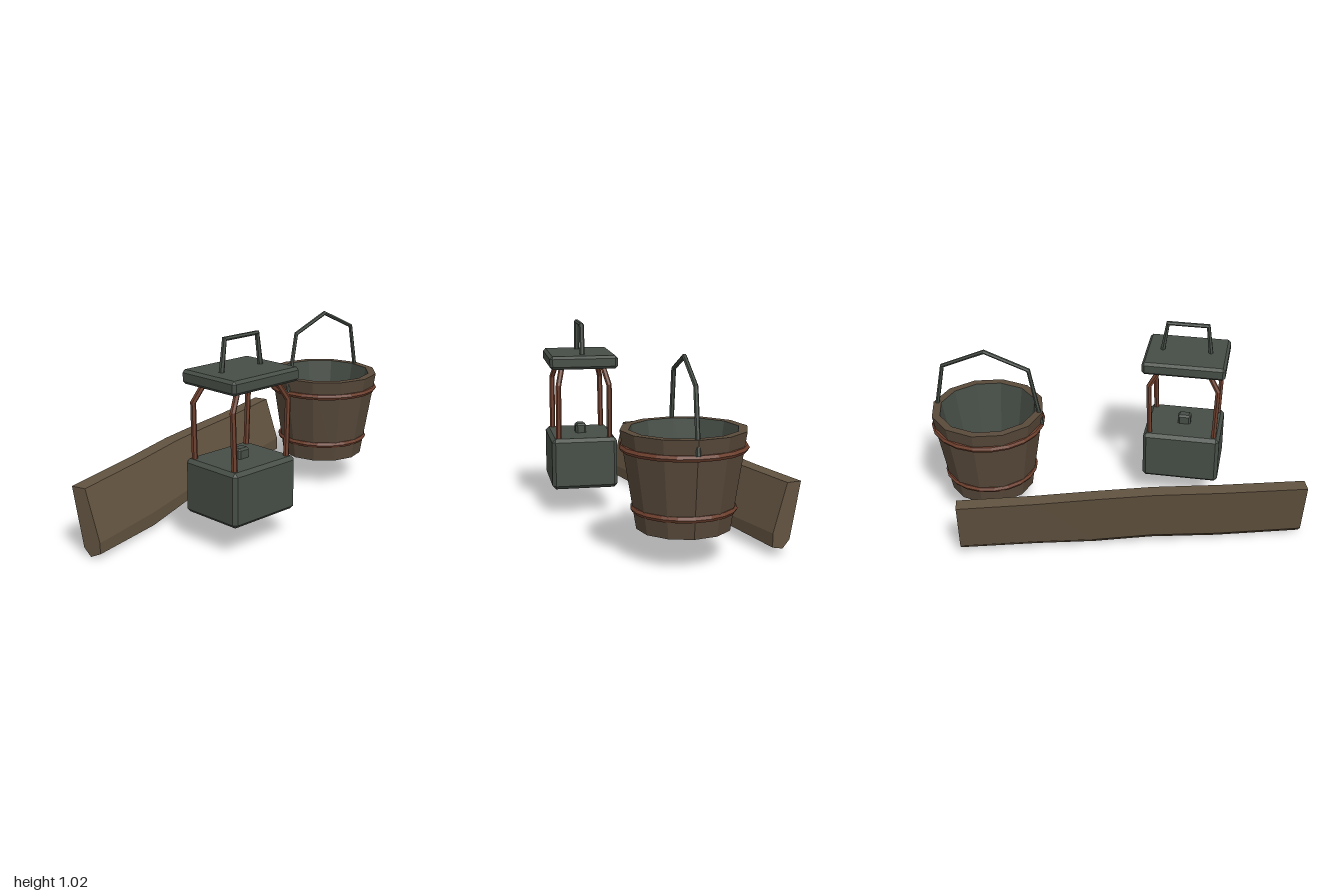
import * as THREE from 'three';
import { ConvexGeometry } from 'three/addons/geometries/ConvexGeometry.js';

const flat = (name, color) => {
  const m = new THREE.MeshStandardMaterial({ color, flatShading: true });
  m.name = name;
  return m;
};

// Skin over a list of rings (counter-clockwise around the direction of travel), capped at both ends
function loft(rings) {
  const n = rings[0].length, pos = [], idx = [];
  rings.forEach(r => r.forEach(p => pos.push(p.x, p.y, p.z)));
  for (let i = 0; i < rings.length - 1; i++) {
    for (let j = 0; j < n; j++) {
      const k = (j + 1) % n, a = i * n + j, b = i * n + k;
      idx.push(a, b, b + n, a, b + n, a + n);
    }
  }
  const last = (rings.length - 1) * n;
  [[0, false], [last, true]].forEach(([start, end]) => {
    const ring = rings[start / n];
    const c = ring.reduce((s, p) => s.add(p), new THREE.Vector3()).divideScalar(n);
    const ci = pos.length / 3;
    pos.push(c.x, c.y, c.z);
    for (let j = 0; j < n; j++) {
      const k = (j + 1) % n;
      if (end) idx.push(ci, start + j, start + k);
      else idx.push(ci, start + k, start + j);
    }
  });
  const g = new THREE.BufferGeometry();
  g.setAttribute('position', new THREE.Float32BufferAttribute(pos, 3));
  g.setIndex(idx);
  g.computeVertexNormals();
  return g;
}

// Bent bar with sharp corners along a path
function bar(path, radius, sides = 6) {
  const pts = path.map(p => new THREE.Vector3(...p));
  const rings = pts.map((p, i) => {
    const t = new THREE.Vector3();
    if (i > 0) t.add(p.clone().sub(pts[i - 1]).normalize());
    if (i < pts.length - 1) t.add(pts[i + 1].clone().sub(p).normalize());
    t.normalize();
    const u = new THREE.Vector3(0, 0, 1).projectOnPlane(t).normalize();
    const v = t.clone().cross(u);
    return Array.from({ length: sides }, (_, j) => {
      const a = j / sides * Math.PI * 2;
      return p.clone().addScaledVector(u, Math.cos(a) * radius).addScaledVector(v, Math.sin(a) * radius);
    });
  });
  return loft(rings);
}

// Box with chamfered edges
function chamferBox(w, h, d, c) {
  const pts = [];
  for (const x of [-1, 1]) for (const y of [-1, 1]) for (const z of [-1, 1]) {
    for (let k = 0; k < 3; k++) {
      pts.push(new THREE.Vector3(
        x * (w / 2 - (k === 0 ? 0 : c)),
        y * (h / 2 - (k === 1 ? 0 : c)),
        z * (d / 2 - (k === 2 ? 0 : c))));
    }
  }
  return new ConvexGeometry(pts);
}

const lathe = (profile, sides) =>
  new THREE.LatheGeometry(profile.map(p => new THREE.Vector2(...p)), sides);

export function createModel() {
  const wood = flat('wood', 0x625340);
  const bucketWood = flat('bucketWood', 0x594a3b);
  const metal = flat('darkMetal', 0x464d46);
  const rust = flat('rustyIron', 0x6e402e);

  const model = new THREE.Group();
  const add = (parent, name, geometry, material, x = 0, y = 0, z = 0) => {
    const m = new THREE.Mesh(geometry, material);
    m.name = name;
    m.position.set(x, y, z);
    parent.add(m);
    return m;
  };
  const group = (name, x, y, z) => {
    const g = new THREE.Group();
    g.name = name;
    g.position.set(x, y, z);
    model.add(g);
    return g;
  };

  // Leaning plank: uneven top and bottom heights along its length
  const plank = group('plank', -0.12, 0, -0.225);
  plank.rotation.y = Math.atan2(0.495, 1.72);
  const stations = [
    [-0.895, 0.335, 0.0], [-0.45, 0.342, 0.002], [-0.1, 0.355, 0.02],
    [0.2, 0.352, 0.014], [0.5, 0.345, 0.025], [0.895, 0.345, 0.03],
  ];
  add(plank, 'plankBoard', loft(stations.map(([x, top, low], i) => [
    [top, -0.075], [top, 0], [low + 0.08, 0.075],
    [low + (i % 2 ? 0.012 : 0.025), 0.075], [low, 0.02], [low + 0.04, -0.018],
  ].map(([y, z]) => new THREE.Vector3(x, y, z)))), wood);

  // Bucket: staves, dark lining, recessed underside
  const bucket = group('bucket', 0.695, 0, 0.01);
  add(bucket, 'bucketStaves',
    lathe([[0.18, 0.15], [0.222, 0.15], [0.297, 0.613], [0.255, 0.613]], 12), bucketWood);
  add(bucket, 'bucketLining', lathe([[0.255, 0.613], [0.183, 0.2], [0, 0.2]], 12), metal);
  add(bucket, 'bucketUnderside', lathe([[0, 0.175], [0.18, 0.175], [0.18, 0.15]], 12), metal);

  // Iron hoops
  [[0.53, 0.283], [0.245, 0.232]].forEach(([y, r], i) => {
    const hoop = add(bucket, i ? 'lowerHoop' : 'upperHoop',
      new THREE.TorusGeometry(r, 0.016, 6, 20), rust, 0, y, 0);
    hoop.rotation.x = Math.PI / 2;
  });
  add(bucket, 'bucketHandle', bar([
    [-0.29, 0.54, 0], [-0.23, 0.855, 0], [0, 0.94, 0], [0.23, 0.838, 0], [0.29, 0.54, 0],
  ], 0.0115), metal);

  // Lantern body, lid and burner
  const lantern = group('lantern', -0.31, 0, 0.365);
  add(lantern, 'lanternBase', chamferBox(0.412, 0.27, 0.345, 0.018), metal, 0, 0.281, 0);
  add(lantern, 'lanternLid', chamferBox(0.437, 0.069, 0.355, 0.014), metal, 0, 0.819, 0);
  add(lantern, 'burner', chamferBox(0.07, 0.06, 0.056, 0.01), metal, 0, 0.436, 0);
  add(lantern, 'lanternHandle', bar([
    [-0.125, 0.852, 0], [-0.106, 1.007, 0], [0.106, 1.007, 0], [0.13, 0.852, 0],
  ], 0.0135), metal);

  // Four bent posts
  for (const sx of [-1, 1]) for (const sz of [-1, 1]) {
    add(lantern, 'lanternPost', bar([
      [sx * 0.173, 0.4, sz * 0.135], [sx * 0.183, 0.695, sz * 0.133], [sx * 0.122, 0.8, sz * 0.106],
    ], 0.0145), rust);
  }
  return model;
}
